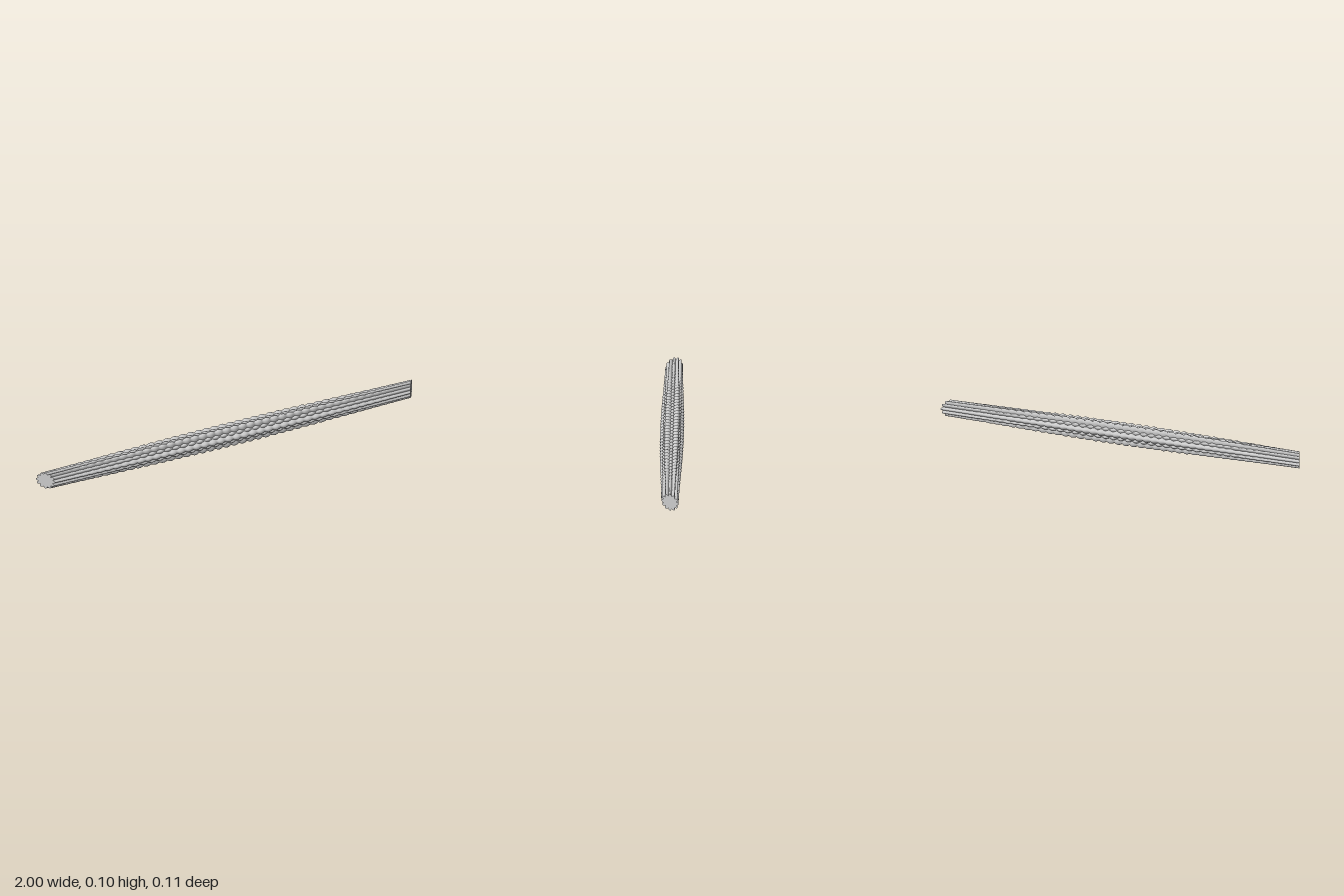
import * as THREE from 'three';

const STRANDS = 12;      // petal-shaped strands around the rod axis
const BEADS = 46;        // beads along each strand
const HALF = 0.972;      // half length along the axis
const AXIS_Y = 0.051;
const MITRE = 0.7;       // slope of the slanted ends

// One strand: a cylinder reshaped into a petal section that swells into beads mid-length
function strandGeometry(index) {
  const angle = (index / STRANDS) * Math.PI * 2;
  const outer = index % 2 === 0;
  const midRadius = outer ? 0.056 : 0.047;
  const midWidth = outer ? 0.0175 : 0.012;
  const phase = outer ? 0 : Math.PI / 2;
  const geo = new THREE.CylinderGeometry(1, 1, 2, 14, BEADS * 6, false, -Math.PI / 2);
  const p = geo.attributes.position;
  const c = Math.cos(angle), s = Math.sin(angle);
  for (let i = 0; i < p.count; i++) {
    const u = p.getX(i), t = p.getY(i), v = p.getZ(i);
    // bead strength fades out towards both ends
    const swell = Math.pow(Math.max(0, Math.cos(t * Math.PI / 2)), 1.3);
    const dip = 1 - Math.abs(Math.sin(t * BEADS * Math.PI / 2 + phase));
    const radius = 0.04 + (midRadius - 0.04) * swell - 0.008 * swell * dip;
    const width = 0.009 + (midWidth - 0.009) * swell - 0.006 * swell * dip;
    const r = radius * (1 + u) / 2;
    const z = r * c - width * v * s;
    const y = r * s + width * v * c;
    // slant only the last stretch so that the ends are mitred
    const x = t * HALF - Math.sign(t) * MITRE * z * Math.pow(Math.abs(t), 14);
    p.setXYZ(i, x, y + AXIS_Y, z);
  }
  geo.computeVertexNormals();
  return geo;
}

export function createModel() {
  const model = new THREE.Group();
  model.name = 'beadedRod';
  const material = new THREE.MeshStandardMaterial({ color: 0xcccccc });
  for (let i = 0; i < STRANDS; i++) {
    const strand = new THREE.Mesh(strandGeometry(i), material);
    strand.name = i % 2 === 0 ? 'outerStrand' : 'innerStrand';
    model.add(strand);
  }
  return model;
}
